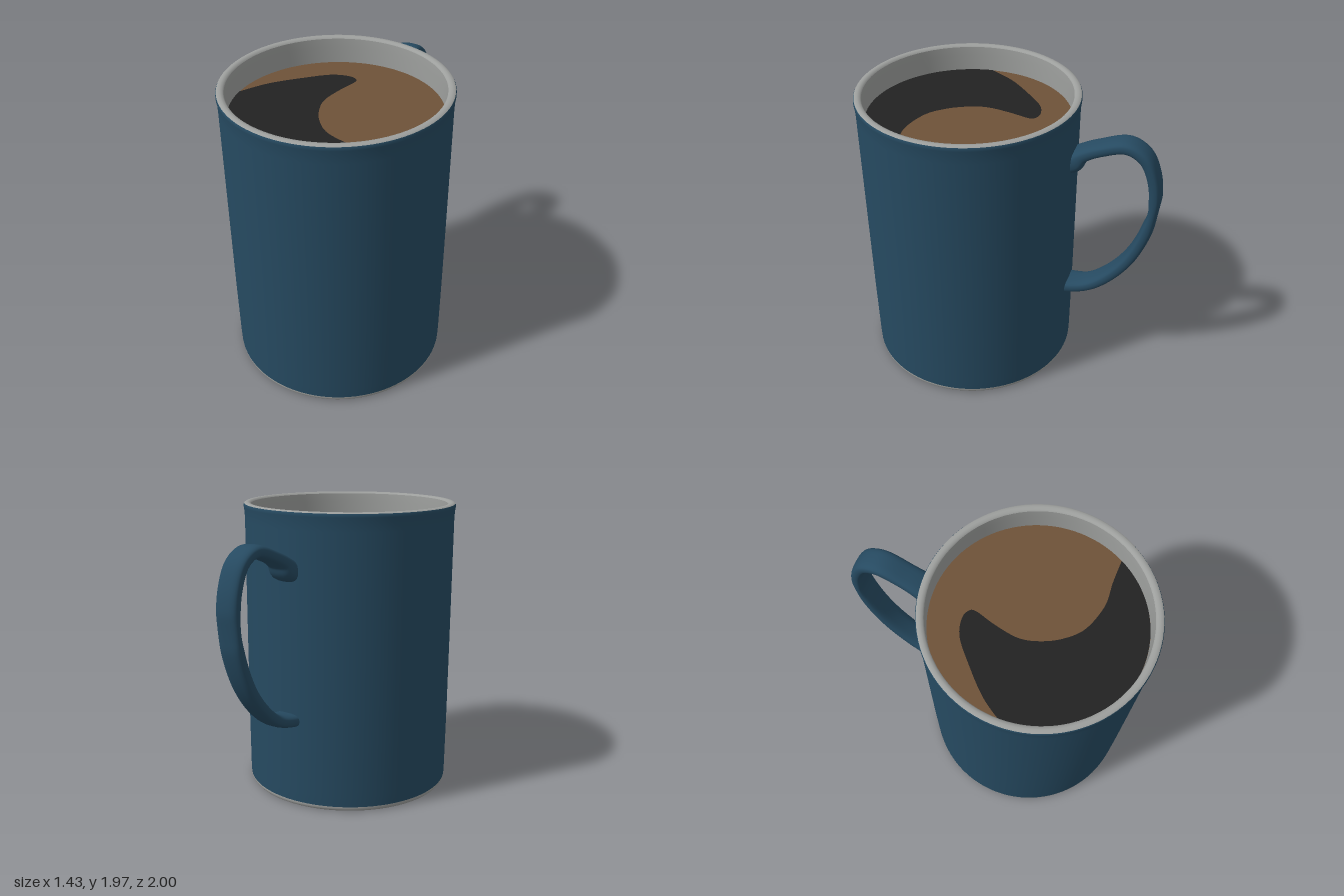
import * as THREE from 'three';

const CZ = 0.28; // centre of the cup body along z
const COFFEE_Y = 1.79;

function mat(name, color, side = THREE.FrontSide) {
  const m = new THREE.MeshStandardMaterial({ color, side });
  m.name = name;
  return m;
}

function mesh(name, geometry, material) {
  const m = new THREE.Mesh(geometry, material);
  m.name = name;
  return m;
}

function lathe(points) {
  return new THREE.LatheGeometry(points.map(([r, y]) => new THREE.Vector2(r, y)), 96);
}

// Handle: a rounded section swept along a path in the z-y plane.
// Each station is [z, y, half width, half thickness].
function handleGeometry() {
  const stations = [
    [-0.37, 1.59, 0.105, 0.08], [-0.43, 1.605, 0.1, 0.075], [-0.485, 1.655, 0.09, 0.046],
    [-0.6, 1.712, 0.084, 0.041], [-0.76, 1.757, 0.084, 0.042], [-0.87, 1.7, 0.083, 0.041],
    [-0.935, 1.57, 0.083, 0.04], [-0.96, 1.4, 0.083, 0.039], [-0.935, 1.19, 0.083, 0.039],
    [-0.84, 0.935, 0.083, 0.04], [-0.71, 0.755, 0.083, 0.041], [-0.57, 0.642, 0.085, 0.041],
    [-0.44, 0.606, 0.098, 0.045], [-0.37, 0.604, 0.105, 0.05],
  ];
  const path = new THREE.CatmullRomCurve3(stations.map(([z, y]) => new THREE.Vector3(0, y, z)));
  const sizes = new THREE.CatmullRomCurve3(stations.map(([, , w, t]) => new THREE.Vector3(w, t, 0)));
  const rings = 90, sides = 24, positions = [], index = [];
  const soften = (v) => Math.sign(v) * Math.abs(v) ** 0.7;
  for (let i = 0; i <= rings; i++) {
    const u = i / rings;
    const p = path.getPoint(u), d = path.getTangent(u), s = sizes.getPoint(u);
    for (let j = 0; j < sides; j++) {
      const a = (j / sides) * Math.PI * 2;
      const across = soften(Math.cos(a)) * s.x, out = soften(Math.sin(a)) * s.y;
      positions.push(across, p.y - d.z * out, p.z + d.y * out);
      if (i < rings) {
        const k = (j + 1) % sides, n = i * sides;
        const b = n + j, c = n + k;
        index.push(b, b + sides, c, c, b + sides, c + sides);
      }
    }
  }
  const g = new THREE.BufferGeometry();
  g.setAttribute('position', new THREE.Float32BufferAttribute(positions, 3));
  g.setIndex(index);
  g.computeVertexNormals();
  return g;
}

// Dark swirl: a curved edge across the coffee closed by the cup's inner arc.
function swirlGeometry(radius) {
  const edge = [
    [-0.55, 0.17], [-0.39, 0], [-0.26, -0.115], [-0.15, -0.152], [-0.085, -0.135],
    [-0.072, -0.09], [-0.105, 0.04], [-0.127, 0.195], [-0.1, 0.315], [-0.03, 0.44],
    [0.085, 0.545], [0.27, 0.597], [0.43, 0.585],
  ];
  // Shape y is minus z, so the arc runs through negative y.
  const start = Math.PI + 0.11, end = Math.PI * 2 - 0.472;
  const rim = (a) => new THREE.Vector2(Math.cos(a) * radius, Math.sin(a) * radius);
  const curve = new THREE.SplineCurve([
    rim(start), ...edge.map(([x, z]) => new THREE.Vector2(x, CZ - z)), rim(end),
  ]);
  const points = curve.getPoints(90);
  for (let i = 1; i < 48; i++) points.push(rim(end + ((start - end) * i) / 48));
  return new THREE.ShapeGeometry(new THREE.Shape(points)).rotateX(-Math.PI / 2);
}

export function createModel() {
  const blue = mat('blue glaze', 0x264a61, THREE.DoubleSide);
  const grey = mat('pale grey ceramic', 0x9d9f9d, THREE.DoubleSide);
  const brown = mat('milky coffee', 0x6e5238);
  const black = mat('dark coffee', 0x222222);

  const model = new THREE.Group();
  model.name = 'mug';
  const cup = new THREE.Group();
  cup.name = 'cup';
  cup.position.z = CZ;
  model.add(cup);

  // Glazed outside wall with a slight lip
  cup.add(mesh('outerWall', lathe([
    [0.703, 0.032], [0.705, 0.1], [0.708, 0.5], [0.709, 1], [0.71, 1.85], [0.712, 1.91],
    [0.717, 1.94], [0.717, 1.955], [0.713, 1.963],
  ]), blue));

  // Bare ceramic foot, rim and inside
  cup.add(mesh('footEdge', lathe([
    [0.682, 0], [0.693, 0.003], [0.7, 0.011], [0.703, 0.022], [0.703, 0.032],
  ]), grey));
  const base = mesh('base', new THREE.CircleGeometry(0.682, 96), grey);
  base.rotation.x = Math.PI / 2;
  cup.add(base);
  cup.add(mesh('rim', lathe([
    [0.713, 1.963], [0.705, 1.969], [0.69, 1.971], [0.675, 1.968], [0.667, 1.958],
  ]), grey));
  cup.add(mesh('innerWall', lathe([[0.667, 1.958], [0.664, 1.9], [0.664, COFFEE_Y - 0.01]]), grey));

  // Coffee surface with its two-tone swirl
  const coffee = mesh('coffee', new THREE.CircleGeometry(0.664, 96), brown);
  coffee.rotation.x = -Math.PI / 2;
  coffee.position.y = COFFEE_Y;
  cup.add(coffee);
  const swirl = mesh('coffeeSwirl', swirlGeometry(0.663), black);
  swirl.position.y = COFFEE_Y + 0.003;
  cup.add(swirl);

  model.add(mesh('handle', handleGeometry(), blue));
  return model;
}
